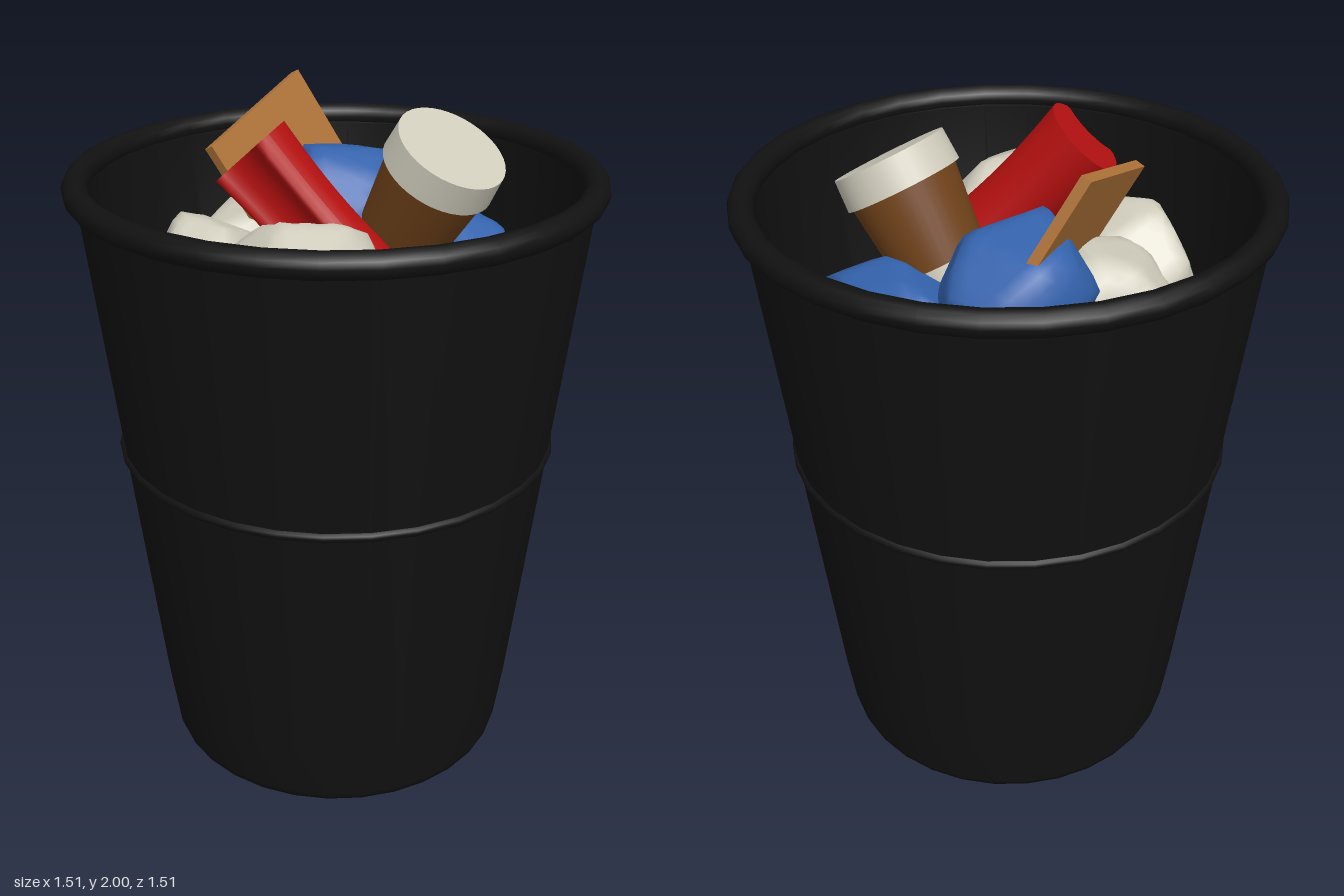
import * as THREE from 'three';
import { mergeVertices } from 'three/addons/utils/BufferGeometryUtils.js';

const mat = (name, color) => {
  const m = new THREE.MeshStandardMaterial({ color });
  m.name = name;
  return m;
};

function mesh(name, geometry, material, parent, y = 0) {
  const m = new THREE.Mesh(geometry, material);
  m.name = name;
  m.position.y = y;
  parent.add(m);
  return m;
}

// Group whose origin is the top of an object and whose +y follows the axis
function tilted(name, position, axis, parent) {
  const g = new THREE.Group();
  g.name = name;
  g.position.set(...position);
  g.quaternion.setFromUnitVectors(new THREE.Vector3(0, 1, 0), new THREE.Vector3(...axis).normalize());
  parent.add(g);
  return g;
}

function seeded(seed) {
  return () => {
    seed = (seed * 16807) % 2147483647;
    return seed / 2147483647;
  };
}

// Crumpled ball: a sphere cut back by random planes
function crumple(radii, seed) {
  const rand = seeded(seed * 7919 + 13);
  for (let i = 0; i < 5; i++) rand();
  const planes = [];
  for (let i = 0; i < 18; i++) {
    const n = new THREE.Vector3(rand() - 0.5, rand() - 0.5, rand() - 0.5).normalize();
    planes.push([n, 0.76 + rand() * 0.2]);
  }
  let geo = new THREE.IcosahedronGeometry(1, 5);
  geo.deleteAttribute('normal');
  geo.deleteAttribute('uv');
  geo = mergeVertices(geo, 1e-4);
  const pos = geo.attributes.position;
  const v = new THREE.Vector3();
  for (let i = 0; i < pos.count; i++) {
    v.fromBufferAttribute(pos, i).normalize();
    let r = 1.12;
    for (const [n, h] of planes) {
      const d = v.dot(n);
      if (d > 0.1) r = Math.min(r, h / d);
    }
    v.multiplyScalar(r);
    pos.setXYZ(i, v.x * radii[0], v.y * radii[1], v.z * radii[2]);
  }
  geo.computeVertexNormals();
  return geo;
}

// Can with a pinched waist and a dent along one side
function dentedCan(radius, length, dent) {
  const geo = new THREE.CylinderGeometry(radius, radius, length, 40, 10);
  geo.translate(0, -length / 2, 0);
  const pos = geo.attributes.position;
  for (let i = 0; i < pos.count; i++) {
    let x = pos.getX(i), z = pos.getZ(i);
    const push = Math.max(0, (x * dent.x + z * dent.z) - 0.72 * radius) * 2;
    const waist = 1 - 0.1 * Math.sin(-pos.getY(i) / length * Math.PI);
    x = (x - dent.x * push) * waist;
    z = (z - dent.z * push) * waist;
    pos.setX(i, x);
    pos.setZ(i, z);
  }
  geo.computeVertexNormals();
  return geo;
}

export function createModel() {
  const model = new THREE.Group();
  model.name = 'trashBin';

  const black = mat('black plastic', 0x111111);
  const paper = mat('off-white paper', 0xcfccbc);
  const blue = mat('blue paper', 0x3462ac);
  const red = mat('red metal', 0xb51010);
  const cardboard = mat('cardboard', 0xb0743a);
  const brown = mat('brown sleeve', 0x70421a);

  // Bin shell: outer wall up, over the lip, inner wall down to the floor
  const profile = [
    [0, 0], [0.51, 0], [0.525, 0.008], [0.532, 0.03], [0.555, 0.2], [0.722, 1.77],
    [0.722, 1.8], [0.692, 1.8], [0.688, 1.77], [0.525, 0.04], [0, 0.04],
  ].map(([x, y]) => new THREE.Vector2(x, y));
  mesh('binShell', new THREE.LatheGeometry(profile, 32), black, model);

  // Rolled rim and the raised band round the middle
  for (const [name, radius, tube, y] of [['rim', 0.72, 0.036, 1.79], ['middleBand', 0.637, 0.015, 1.005]]) {
    const ring = new THREE.TorusGeometry(radius, tube, 12, 32);
    ring.rotateX(Math.PI / 2);
    mesh(name, ring, black, model, y);
  }

  // Crumpled paper: material, centre, radii
  const balls = [
    [paper, [-0.27, 1.59, 0.19], [0.22, 0.2, 0.22]],
    [paper, [-0.09, 1.5, -0.29], [0.21, 0.2, 0.23]],
    [paper, [-0.31, 1.54, -0.19], [0.17, 0.18, 0.19]],
    [paper, [-0.02, 1.4, 0.24], [0.2, 0.18, 0.18]],
    [paper, [0.03, 1.3, 0.0], [0.18, 0.17, 0.18]],
    [blue, [0.18, 1.65, -0.17], [0.22, 0.2, 0.2]],
    [blue, [0.28, 1.5, -0.22], [0.17, 0.17, 0.2]],
    [blue, [0.35, 1.5, 0.14], [0.17, 0.19, 0.23]],
  ];
  balls.forEach(([material, centre, radii], i) => {
    const b = mesh('crumpledPaper' + (i + 1), crumple(radii, i + 1), material, model);
    b.position.set(...centre);
  });

  // Takeaway cup leaning to the front
  const cup = tilted('cup', [0.19, 1.89, 0.26], [0.06, 0.86, 0.51], model);
  mesh('cupLid', new THREE.CylinderGeometry(0.162, 0.167, 0.09, 40), paper, cup, -0.045);
  mesh('cupBody', new THREE.CylinderGeometry(0.15, 0.108, 0.38, 40), paper, cup, -0.28);
  mesh('cupSleeve', new THREE.CylinderGeometry(0.155, 0.131, 0.23, 40), brown, cup, -0.2);

  // Crushed can leaning to the back right
  const can = tilted('can', [-0.24, 1.89, -0.08], [-0.37, 0.74, -0.56], model);
  const dent = new THREE.Vector3(-0.85, -0.15, 0.45).applyQuaternion(can.quaternion.clone().invert());
  dent.y = 0;
  dent.normalize();
  mesh('canBody', dentedCan(0.122, 0.47, dent), red, can);

  // Cardboard sheet spanned by its top edge and its downward edge
  const along = new THREE.Vector3(0.42, 0.133, -0.12);
  const up = new THREE.Vector3(-0.15, 0.35, -0.14);
  const board = mesh('cardboardSheet', new THREE.BoxGeometry(along.length(), up.length(), 0.03), cardboard, model);
  const corner = new THREE.Vector3(0.18, 1.995, -0.385);
  board.position.copy(corner).addScaledVector(along, -0.5).addScaledVector(up, -0.5);
  const xAxis = along.clone().normalize();
  const zAxis = xAxis.clone().cross(up).normalize();
  board.quaternion.setFromRotationMatrix(
    new THREE.Matrix4().makeBasis(xAxis, zAxis.clone().cross(xAxis), zAxis));

  return model;
}
